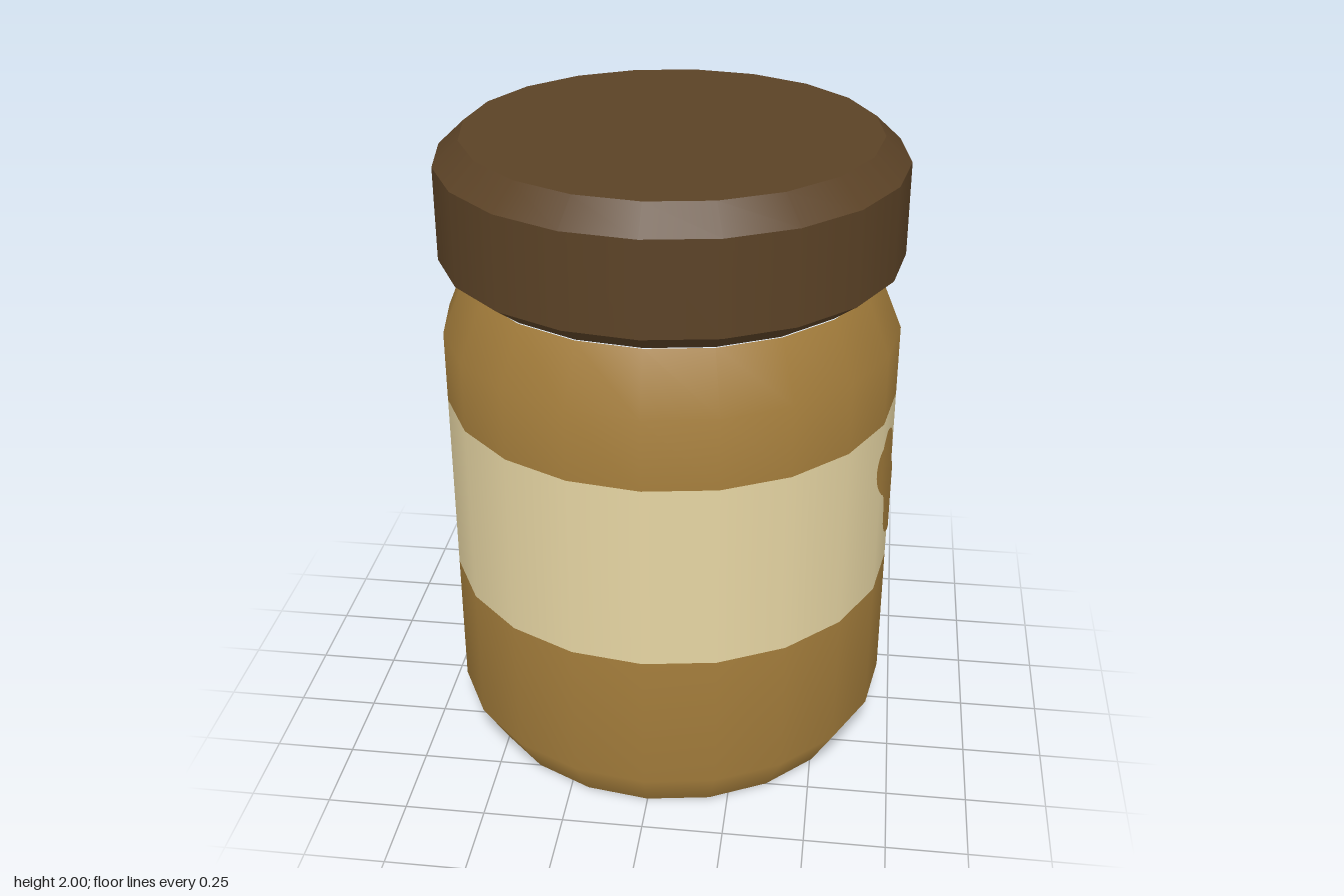
import * as THREE from 'three';

const SIDES = 20, R = 0.705;

export function createModel() {
  const jar = new THREE.Group();
  jar.name = 'jar';
  const makeMaterial = (name, color) => {
    const m = new THREE.MeshStandardMaterial({ color });
    m.name = name;
    return m;
  };
  const lidBrown = makeMaterial('lid brown', 0x5b4226);
  const nutBrown = makeMaterial('nut brown', 0xa57e3c);
  const cream = makeMaterial('label cream', 0xe6d5a3);

  const add = (parent, name, geometry, material) => {
    const mesh = new THREE.Mesh(geometry, material);
    mesh.name = name;
    parent.add(mesh);
    return mesh;
  };
  // A turned band through [radius, height] points, listed upwards along the outside
  const band = (parent, name, points, material) => add(parent, name,
    new THREE.LatheGeometry(points.map(p => new THREE.Vector2(...p)), SIDES), material);

  // Glass body, with the label as a flush band
  band(jar, 'base', [[0, 0], [0.625, 0.005]], lidBrown);
  band(jar, 'lowerBody', [[0.625, 0.005], [R, 0.14], [R, 0.585]], nutBrown);
  band(jar, 'label', [[R, 0.585], [R, 1.175]], cream);
  band(jar, 'upperBody', [[R, 1.175], [R, 1.4], [0.63, 1.58]], nutBrown);

  // Lid: separate bands keep its chamfer edges crisp
  const lid = new THREE.Group();
  lid.name = 'lid';
  jar.add(lid);
  const lidProfile = [[0, 1.575], [0.625, 1.58], [R, 1.64], [R, 1.925], [0.625, 2], [0, 2]];
  const lidNames = ['lidUnderside', 'lidLowerChamfer', 'lidRim', 'lidUpperChamfer', 'lidTop'];
  lidNames.forEach((name, i) => band(lid, name, lidProfile.slice(i, i + 2), lidBrown));

  // Peanut emblem, once on each side
  const emblem = peanutGeometry();
  add(jar, 'leftPeanut', emblem, nutBrown);
  add(jar, 'rightPeanut', emblem, nutBrown).rotation.y = Math.PI;

  return jar;
}

// x of the faceted body wall at depth z
function wallX(z) {
  const step = 2 * Math.PI / SIDES;
  const k = Math.floor(Math.asin(z / R) / step);
  const z0 = R * Math.sin(k * step), z1 = R * Math.sin((k + 1) * step);
  return THREE.MathUtils.mapLinear(z, z0, z1, R * Math.cos(k * step), R * Math.cos((k + 1) * step));
}

// Peanut outline laid on the wall, with columns split at the wall's corners
function peanutGeometry() {
  // height, front edge z, back edge z
  const rows = [
    [1.117, 0.16, 0.14], [1.1, 0.205, 0.09], [1.07, 0.237, 0.053], [1.02, 0.25, 0.032],
    [0.97, 0.24, 0.03], [0.93, 0.213, 0.008], [0.905, 0.175, -0.035], [0.88, 0.15, -0.075],
    [0.85, 0.137, -0.1], [0.81, 0.131, -0.11], [0.77, 0.124, -0.103], [0.73, 0.095, -0.077],
    [0.705, 0.06, -0.043], [0.69, 0.025, -0.005],
  ];
  const edge = side => new THREE.SplineCurve(rows.map(r => new THREE.Vector2(r[side], r[0]))).getPoints(39);
  const front = edge(1), back = edge(2);
  const corner = R * Math.sin(2 * Math.PI / SIDES);
  const positions = [], normals = [], index = [];
  front.forEach((f, i) => {
    const b = back[i].x;
    const clamp = z => THREE.MathUtils.clamp(z, b, f.x);
    [f.x, clamp(corner), clamp(0), b].forEach((z, j) => {
      const x = wallX(z), len = Math.hypot(x, z);
      positions.push(x + 0.004, f.y, z);
      normals.push(x / len, 0, z / len);
      if (i > 0 && j > 0) {
        const d = i * 4 + j, c = d - 1, t = d - 4, s = t - 1;
        index.push(s, c, t, t, c, d);
      }
    });
  });
  const g = new THREE.BufferGeometry();
  g.setAttribute('position', new THREE.Float32BufferAttribute(positions, 3));
  g.setAttribute('normal', new THREE.Float32BufferAttribute(normals, 3));
  g.setIndex(index);
  return g;
}
